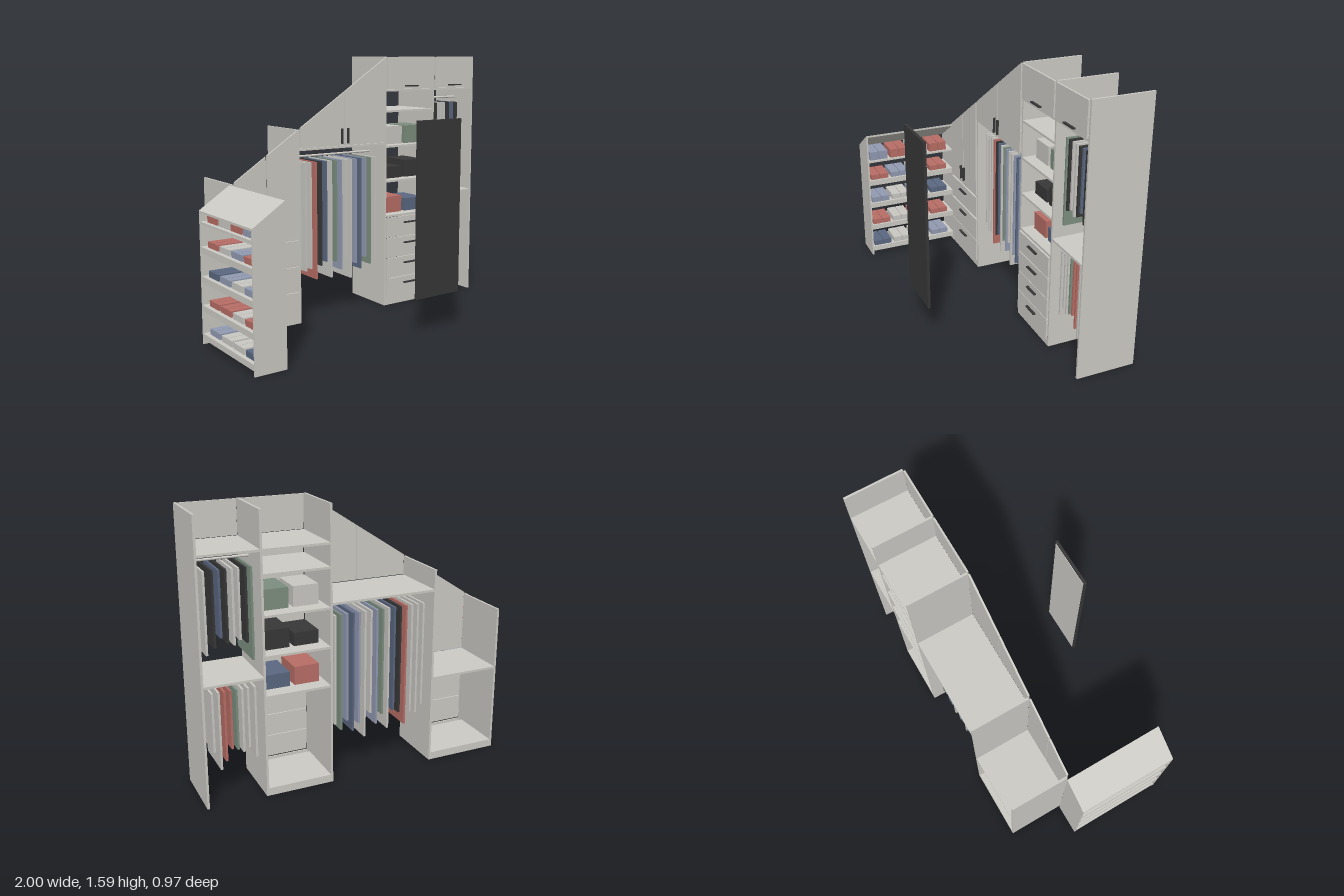
import * as THREE from 'three';

const mat = (name, color) => {
  const m = new THREE.MeshStandardMaterial({ color });
  m.name = name;
  return m;
};

export function createModel() {
  const root = new THREE.Group();
  root.name = 'slopedWardrobe';
  const M = {
    panel: mat('warm grey board', 0xcdcbc5),
    dark: mat('charcoal', 0x383838),
    red: mat('brick red', 0xb86e66),
    green: mat('sage green', 0x7d8f80),
    navy: mat('navy grey', 0x5b6881),
    slate: mat('pale slate blue', 0x929bb2),
    light: mat('light cloth grey', 0xc9c8c3),
  };
  const BACK = -0.487, FRONT = -0.128, FACE = -0.117, T = 0.013;
  const roof = (x) => 0.76 + (x + 1) * 0.6535;

  // box given by its limits
  const box = (name, m, x0, x1, y0, y1, z0, z1, parent = root) => {
    const mesh = new THREE.Mesh(new THREE.BoxGeometry(x1 - x0, y1 - y0, z1 - z0), m);
    mesh.position.set((x0 + x1) / 2, (y0 + y1) / 2, (z0 + z1) / 2);
    mesh.name = name;
    parent.add(mesh);
    return mesh;
  };
  // upright plate with any outline, extruded along z
  const plate = (name, m, pts, z0, z1) => {
    const shape = new THREE.Shape(pts.map(([x, y]) => new THREE.Vector2(x, y)));
    const mesh = new THREE.Mesh(
      new THREE.ExtrudeGeometry(shape, { depth: z1 - z0, bevelEnabled: false }), m);
    mesh.position.z = z0;
    mesh.name = name;
    root.add(mesh);
  };
  const slopedPlate = (name, x0, x1, y0, z0, z1) =>
    plate(name, M.panel, [[x0, y0], [x1, y0], [x1, roof(x1)], [x0, roof(x0)]], z0, z1);
  const shelf = (x0, x1, top, name = 'shelf') =>
    box(name, M.panel, x0, x1, top - T, top, BACK, FRONT);
  const front = (name, x0, x1, y0, y1) =>
    box(name, M.panel, x0, x1, y0 + 0.002, y1 - 0.002, FRONT, FACE);
  const barHandle = (x, y) =>
    box('barHandle', M.dark, x - 0.052, x + 0.052, y - 0.004, y + 0.004, FACE, -0.102);
  const doorHandle = (x, y) =>
    box('doorHandle', M.dark, x - 0.004, x + 0.004, y - 0.046, y + 0.046, FACE, -0.102);
  const rail = (x0, x1, y) => {
    const mesh = new THREE.Mesh(new THREE.CylinderGeometry(0.007, 0.007, x1 - x0, 16), M.panel);
    mesh.rotation.z = Math.PI / 2;
    mesh.position.set((x0 + x1) / 2, y, -0.3);
    mesh.name = 'hangingRail';
    root.add(mesh);
  };
  // row of garments: [x, bottom, colour]
  const garments = (top, list) => {
    const row = new THREE.Group();
    row.name = 'garments';
    root.add(row);
    for (const [x, bottom, c] of list)
      box('garment', M[c], x - 0.006, x + 0.006, bottom, top, -0.43, -0.175, row);
  };

  // upright panels
  const uprights = [[-0.798, 0.885], [-0.365, 1.17], [0.271, 1.59], [0.655, 1.59], [0.992, 1.59]];
  for (const [x, h] of uprights)
    box('uprightPanel', M.panel, x - T / 2, x + T / 2, 0, h, BACK, FRONT);

  // low bay: base, three drawers, shelf and two sloped doors
  box('base', M.panel, -0.792, -0.371, 0, 0.045, BACK, -0.17);
  box('toeKick', M.panel, -0.792, -0.371, 0, 0.043, -0.135, FRONT);
  shelf(-0.792, -0.371, 0.527);
  [[0.045, 0.2, 0.158], [0.2, 0.357, 0.318], [0.366, 0.516, 0.473]].forEach(([a, b, h]) => {
    front('drawerFront', -0.791, -0.372, a, b);
    barHandle(-0.584, h);
  });
  slopedPlate('slopedDoor', -0.791, -0.59, 0.53, FRONT, FACE);
  slopedPlate('slopedDoor', -0.583, -0.372, 0.53, FRONT, FACE);
  doorHandle(-0.608, 0.61);
  doorHandle(-0.561, 0.61);

  // middle bay: long hanging below two sloped doors
  shelf(-0.359, 0.265, 1.057);
  slopedPlate('slopedDoor', -0.358, -0.047, 1.06, FRONT, FACE);
  slopedPlate('slopedDoor', -0.043, 0.264, 1.06, FRONT, FACE);
  doorHandle(-0.07, 1.118);
  doorHandle(-0.025, 1.118);
  rail(-0.359, 0.265, 0.99);
  const longCloth = ['light', 'light', 'light', 'red', 'dark', 'navy', 'light', 'green', 'slate',
    'light', 'light', 'slate', 'navy', 'slate', 'green', 'light'];
  const longEnd = [0.345, 0.3, 0.31, 0.24, 0.32, 0.34, 0.235, 0.33, 0.275, 0.35, 0.21, 0.3, 0.26,
    0.33, 0.28, 0.32];
  garments(0.965, longCloth.map((c, i) => [-0.327 + i * 0.0367, longEnd[i], c]));

  // tall column: base, four drawers, shelves and a top flap
  box('base', M.panel, 0.277, 0.649, 0, 0.045, BACK, -0.17);
  box('toeKick', M.panel, 0.277, 0.649, 0, 0.043, -0.135, FRONT);
  for (let i = 0; i < 4; i++) {
    front('drawerFront', 0.278, 0.648, 0.045 + i * 0.133, 0.178 + i * 0.133);
    barHandle(0.463, 0.136 + i * 0.133);
  }
  for (const y of [0.59, 0.815, 1.036, 1.258, 1.388]) shelf(0.277, 0.649, y);
  front('topFlap', 0.278, 0.648, 1.388, 1.588);
  barHandle(0.463, 1.408);

  // storage boxes on the column shelves
  [[0.59, 'red', 0.695, 'navy', 0.672], [0.815, 'dark', 0.89, 'dark', 0.925],
    [1.036, 'light', 1.15, 'green', 1.15]].forEach(([y, a, ya, b, yb]) => {
    box('storageBox', M[a], 0.31, 0.455, y, ya, -0.4, -0.2);
    box('storageBox', M[b], 0.481, 0.627, y, yb, -0.4, -0.2);
  });

  // end bay: double hanging and a top flap
  shelf(0.661, 0.986, 1.388);
  shelf(0.661, 0.986, 0.7);
  front('topFlap', 0.662, 0.985, 1.388, 1.588);
  barHandle(0.823, 1.408);
  rail(0.661, 0.986, 1.318);
  rail(0.661, 0.986, 0.658);
  garments(1.29, [[0.692, 0.785, 'green'], [0.722, 0.885, 'dark'], [0.76, 0.905, 'light'],
    [0.793, 0.88, 'light'], [0.828, 0.895, 'dark'], [0.863, 0.93, 'navy'],
    [0.898, 0.88, 'dark'], [0.942, 0.845, 'light']]);
  garments(0.632, [[0.692, 0.22, 'light'], [0.731, 0.285, 'light'], [0.763, 0.265, 'light'],
    [0.795, 0.285, 'green'], [0.828, 0.295, 'red'], [0.861, 0.23, 'red'],
    [0.892, 0.185, 'light'], [0.928, 0.295, 'light']]);

  // shoe rack: two end panels, sloped lid, open shelves
  const RX0 = -1, RX1 = -0.812, RZ0 = -0.136, RZ1 = 0.478;
  slopedPlate('rackEndPanel', RX0, RX1, 0, RZ0, RZ0 + 0.01);
  slopedPlate('rackEndPanel', RX0, RX1, 0, RZ1 - 0.01, RZ1);
  plate('rackLid', M.panel, [[RX0, roof(RX0) - T], [RX1, roof(RX1) - T],
    [RX1, roof(RX1)], [RX0, roof(RX0)]], RZ0 + 0.01, RZ1 - 0.01);
  const rows = [
    [0.063, 0.034, 0.034, ['navy', 'light', 'light', 'slate']],
    [0.227, 0.034, 0.034, ['red', 'light', 'red', 'red']],
    [0.392, 0.034, 0.036, ['slate', 'light', 'slate', 'navy']],
    [0.559, 0.036, 0.034, ['red', 'slate', 'light', 'red']],
    [0.7, 0.012, 0.058, ['slate', 'red', 'light', 'red']],
  ];
  for (const [y, thick, h, colours] of rows) {
    box('rackShelf', M.panel, RX0, RX1, y - thick, y, RZ0 + 0.01, RZ1 - 0.01);
    // pairs of shoes, from the front of the rack to the back
    colours.forEach((c, i) => {
      for (const k of [0, 1]) {
        const z = 0.426 - i * 0.14 - k * 0.062;
        box('shoe', M[c], -0.975, -0.825, y, y + h, z - 0.029, z + 0.029);
      }
    });
  }

  // free-standing mirror panel with a pale backing
  box('mirrorPanel', M.dark, 0.031, 0.346, 0.227, 1.243, 0.471, 0.487);
  box('mirrorBacking', M.panel, 0.041, 0.336, 0.237, 1.233, 0.468, 0.471);

  return root;
}
